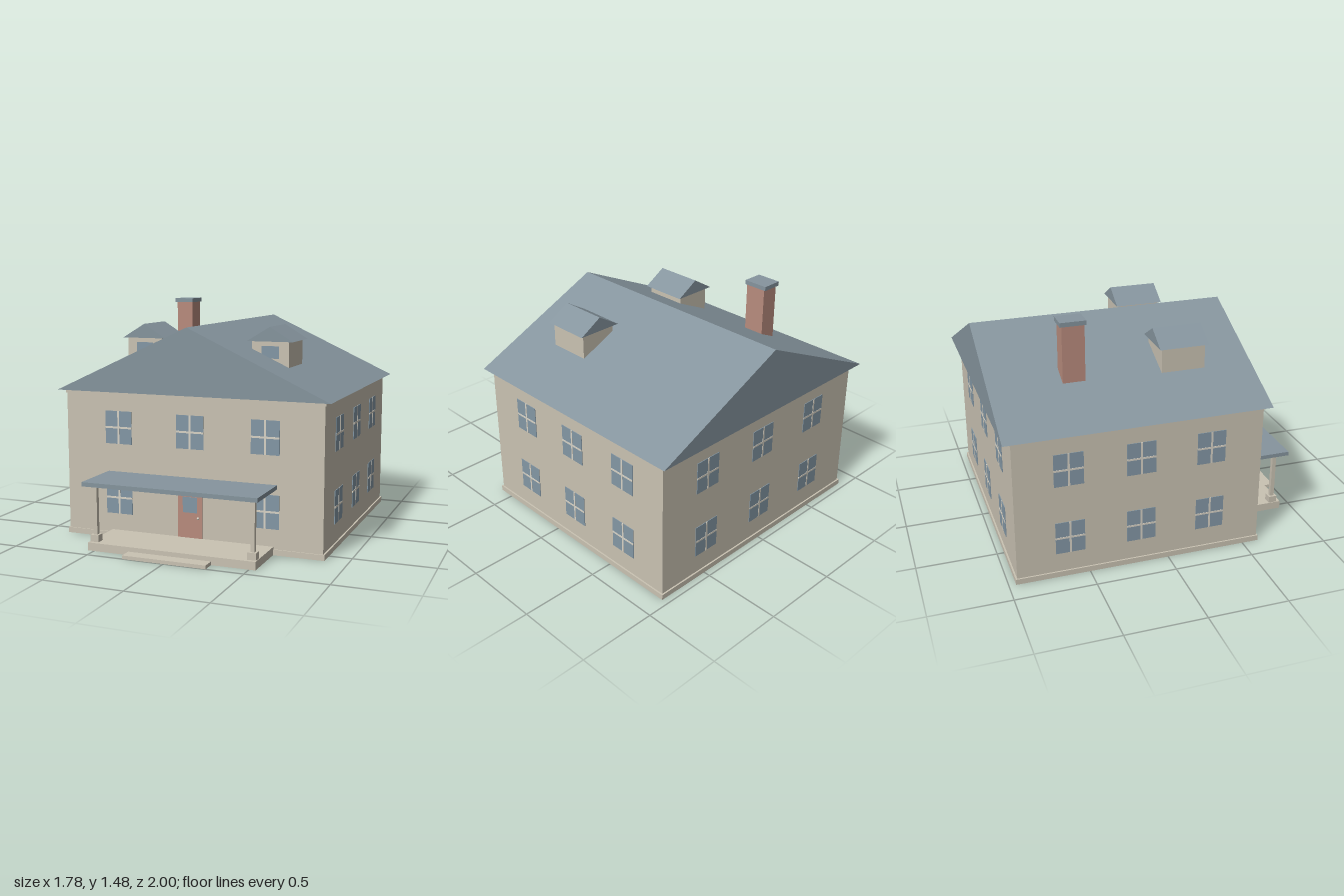
import * as THREE from 'three';

const mat = (name, color) => Object.assign(new THREE.MeshStandardMaterial({ color }), { name });

export function createModel() {
  const house = new THREE.Group();
  house.name = 'house';
  const wall = mat('cream wall', 0xcac3b3);
  const slate = mat('slate roof', 0x86959e);
  const glass = mat('window glass', 0x8498a6);
  const brick = mat('red brick', 0xb98c7e);
  const trim = mat('pale trim', 0xd9d4c7);

  // Box given by its lower and upper limits on each axis
  function box(name, m, [x0, x1], [y0, y1], [z0, z1], parent = house) {
    const mesh = new THREE.Mesh(new THREE.BoxGeometry(x1 - x0, y1 - y0, z1 - z0), m);
    mesh.name = name;
    mesh.position.set((x0 + x1) / 2, (y0 + y1) / 2, (z0 + z1) / 2);
    parent.add(mesh);
    return mesh;
  }

  // Solid gable roof with its ridge along z
  function gable(name, half, y0, y1, z0, z1, parent = house) {
    const shape = new THREE.Shape([
      new THREE.Vector2(-half, y0), new THREE.Vector2(half, y0), new THREE.Vector2(0, y1),
    ]);
    const mesh = new THREE.Mesh(
      new THREE.ExtrudeGeometry(shape, { depth: z1 - z0, bevelEnabled: false }), slate);
    mesh.name = name;
    mesh.position.z = z0;
    parent.add(mesh);
  }

  // Main body
  const front = 0.597, back = -0.947, side = 0.848, midZ = -0.175;
  box('foundation', wall, [-0.858, 0.858], [0, 0.035], [-0.957, 0.605]);
  box('walls', wall, [-side, side], [0.035, 0.915], [back, front]);
  box('eaveTrim', wall, [-0.854, 0.854], [0.915, 0.937], [-0.953, 0.603]);
  gable('mainRoof', 0.892, 0.937, 1.35, -1, 0.64);

  // Four-pane window facing +z, then turned to its wall
  function addWindow(x, y, z, turn) {
    const g = new THREE.Group();
    g.name = 'window';
    box('panes', glass, [-0.09, 0.09], [-0.104, 0.104], [0, 0.004], g);
    box('verticalBar', trim, [-0.006, 0.006], [-0.104, 0.104], [0, 0.006], g);
    box('horizontalBar', trim, [-0.09, 0.09], [-0.006, 0.006], [0, 0.006], g);
    g.position.set(x, y, z);
    g.rotation.y = turn;
    house.add(g);
  }
  for (const y of [0.262, 0.711]) {
    for (const i of [-1, 0, 1]) {
      if (i !== 0 || y > 0.5) addWindow(i * 0.485, y, front, 0);
      addWindow(i * 0.485, y, back, Math.PI);
      addWindow(side, y, midZ + i * 0.442, Math.PI / 2);
      addWindow(-side, y, midZ + i * 0.442, -Math.PI / 2);
    }
  }

  // Front door
  box('door', brick, [-0.081, 0.081], [0.048, 0.363], [front, front + 0.005]);
  box('doorWindow', glass, [-0.047, 0.047], [0.21, 0.308], [front, front + 0.008]);
  const knob = new THREE.Mesh(new THREE.SphereGeometry(0.008, 12, 8), trim);
  knob.name = 'doorKnob';
  knob.position.set(0.055, 0.178, front + 0.009);
  house.add(knob);

  // Porch
  box('porchFloor', wall, [-0.54, 0.54], [0, 0.05], [0.59, 0.917]);
  box('porchStep', wall, [-0.267, 0.267], [0, 0.022], [0.9, 1]);
  box('porchRoof', slate, [-0.56, 0.56], [0.403, 0.429], [0.59, 0.945]);
  for (const s of [-1, 1]) {
    const x = s * 0.508, z = 0.866;
    box('columnBase', wall, [x - 0.027, x + 0.027], [0.05, 0.093], [z - 0.027, z + 0.027]);
    box('column', wall, [x - 0.013, x + 0.013], [0.093, 0.403], [z - 0.013, z + 0.013]);
  }

  // Dormers on both slopes
  for (const s of [-1, 1]) {
    const g = new THREE.Group();
    g.name = s > 0 ? 'leftDormer' : 'rightDormer';
    box('dormerWalls', wall, [-0.12, 0.12], [1.098, 1.256], [0.055, 0.332], g);
    gable('dormerRoof', 0.148, 1.256, 1.346, 0.035, 0.346, g);
    box('dormerWindow', glass, [-0.056, 0.056], [1.152, 1.228], [0.332, 0.336], g);
    g.position.x = s * 0.423;
    house.add(g);
  }

  // Chimney
  box('chimney', brick, [-0.529, -0.416], [1.05, 1.457], [-0.556, -0.418]);
  box('chimneyCap', slate, [-0.54, -0.41], [1.457, 1.484], [-0.569, -0.408]);

  return house;
}
